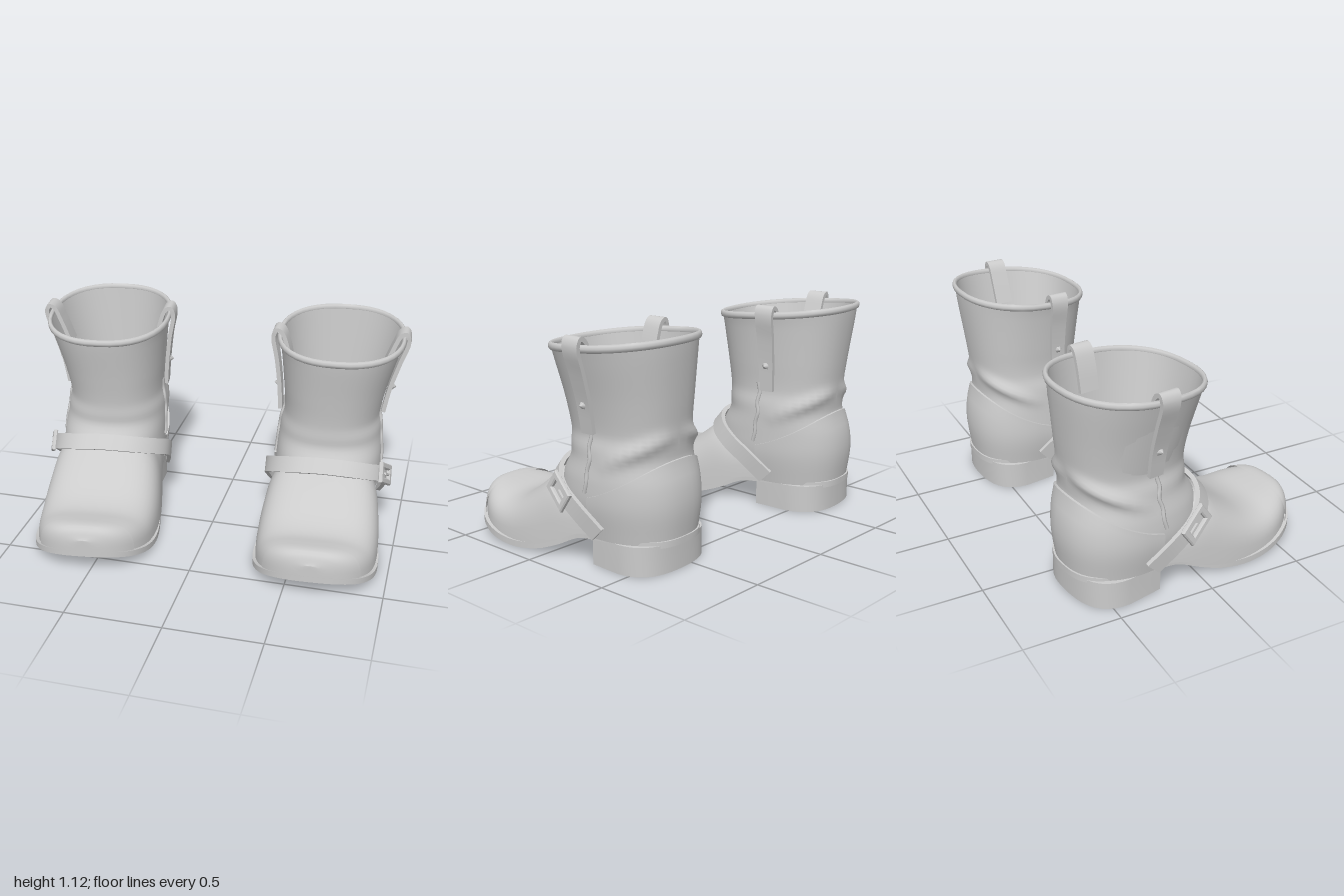
import * as THREE from 'three';
import { toCreasedNormals } from 'three/addons/utils/BufferGeometryUtils.js';

const material = new THREE.MeshStandardMaterial({ color: 0xcccccc, side: THREE.DoubleSide });
const V = (x, y, z) => new THREE.Vector3(x, y, z);

// Smooth interpolation in rows [key, a, b, ...] with ascending keys
function knot(rows, x) {
  const n = rows.length;
  let i = 0;
  while (i < n - 2 && x > rows[i + 1][0]) i++;
  const slope = (j, c) => {
    const p = rows[Math.max(j - 1, 0)], q = rows[Math.min(j + 1, n - 1)];
    return (q[c] - p[c]) / (q[0] - p[0]);
  };
  const A = rows[i], B = rows[i + 1], h = B[0] - A[0];
  const t = Math.min(1, Math.max(0, (x - A[0]) / h)), t2 = t * t, t3 = t2 * t;
  return A.slice(1).map((_, k) => {
    const c = k + 1;
    return (2 * t3 - 3 * t2 + 1) * A[c] + (t3 - 2 * t2 + t) * h * slope(i, c)
      + (3 * t2 - 2 * t3) * B[c] + (t3 - t2) * h * slope(i + 1, c);
  });
}

// Skin through rows of points
function loft(rows, closed, capped, crease = 0.8) {
  const m = rows[0].length, index = [];
  for (let i = 0; i < rows.length - 1; i++)
    for (let j = 0; j < (closed ? m : m - 1); j++) {
      const a = i * m + j, b = i * m + (j + 1) % m;
      index.push(a, b, a + m, b, b + m, a + m);
    }
  if (capped) {
    const e = (rows.length - 1) * m;
    for (let j = 1; j < m - 1; j++) index.push(0, j + 1, j, e, e + j, e + j + 1);
  }
  const g = new THREE.BufferGeometry();
  g.setAttribute('position', new THREE.Float32BufferAttribute(rows.flat().flatMap(p => p.toArray()), 3));
  g.setIndex(index);
  return toCreasedNormals(g, crease);
}

// Flat strip of leather along a path
function ribbon(points, side, width, thick, n) {
  const curve = new THREE.CatmullRomCurve3(points), rows = [];
  for (let i = 0; i <= n; i++) {
    const p = curve.getPoint(i / n), t = curve.getTangent(i / n);
    const w = side.clone().addScaledVector(t, -side.dot(t)).normalize();
    const d = t.clone().cross(w).multiplyScalar(thick / 2);
    w.multiplyScalar(width(i / n) / 2);
    rows.push([[1, 1], [-1, 1], [-1, -1], [1, -1]].map(([a, b]) =>
      p.clone().addScaledVector(w, a).addScaledVector(d, b)));
  }
  return loft(rows, true, true);
}

// z: sole half width, vamp half width
const WIDTHS = [[-0.62, 0.27, 0.27], [-0.25, 0.255, 0.275], [-0.1, 0.265, 0.295], [0.1, 0.31, 0.318],
  [0.3, 0.328, 0.32], [0.59, 0.33, 0.315]];
const SOLE_Y = [[-0.64, 0.13], [-0.2, 0.125], [-0.05, 0.06], [0.05, 0.025], [0.2, 0.005], [0.35, 0.018],
  [0.5, 0.06], [0.6, 0.1]];
const TOP_Y = [[-0.62, 0.28], [-0.5, 0.3], [-0.2, 0.39], [-0.12, 0.41], [-0.05, 0.455], [0, 0.445], [0.05, 0.4],
  [0.15, 0.315], [0.25, 0.25], [0.35, 0.222], [0.45, 0.235], [0.53, 0.245], [0.57, 0.23], [0.59, 0.185]];
// y: front z, back z, half width, outward lean of the shaft
const SHAFT = [[0.14, 0, -0.605, 0.255, 0], [0.3, 0.05, -0.622, 0.285, 0], [0.42, 0.03, -0.612, 0.285, -0.005],
  [0.52, -0.02, -0.585, 0.275, -0.015], [0.58, -0.02, -0.586, 0.27, -0.018], [0.65, -0.02, -0.59, 0.257, -0.02],
  [0.8, 0, -0.605, 0.274, -0.013], [1, 0.032, -0.625, 0.31, 0.004], [1.075, 0.042, -0.63, 0.327, 0.008]];

const pw = (v, e) => Math.sign(v) * Math.abs(v) ** e;
const footRow = (u, grow = 0) => {
  const v = Math.cos(Math.PI * u);
  const z = -0.015 + (0.6 + grow) * v;
  return { z, end: Math.max(0, 1 - v ** 4) ** 0.4, w: knot(WIDTHS, z) };
};

function vampRows(u1, n, grow) {
  const rows = [];
  for (let i = 0; i <= n; i++) {
    const { z, end, w } = footRow(u1 * i / n, grow);
    const y0 = knot(SOLE_Y, z)[0] + 0.025, h = knot(TOP_Y, z)[0] + grow - y0, row = [];
    for (let j = 0; j <= 24; j++) {
      const a = Math.PI * j / 24;
      row.push(V((w[1] + grow) * end * pw(Math.cos(a), 0.65), y0 + h * Math.sin(a) ** 0.65, z));
    }
    rows.push(row);
  }
  return rows;
}

// s: outer side (+1 or -1), tilt: extra outward shift of the shaft
function boot(s, tilt, outerTabZ, innerTabZ) {
  const g = new THREE.Group();
  const add = (name, geo) => {
    const m = new THREE.Mesh(geo, material);
    m.name = name;
    g.add(m);
    return m;
  };
  const ring = fn => Array.from({ length: 40 }, (_, j) => fn(j * Math.PI / 20));

  // Point on the shaft at angle a from the front, with slouched folds behind the ankle
  const shaftPoint = (a, y, off = 0) => {
    const [f, b, w, lean] = knot(SHAFT, y), c = Math.cos(a);
    const foldY = 0.64 - 0.15 * (1 + c);
    const o = off + 0.05 * Math.exp(-(((y - foldY) / 0.035) ** 2)) * Math.abs(Math.min(0, c) * Math.sin(a));
    const shift = lean + tilt * THREE.MathUtils.smoothstep(y, 0.2, 0.75);
    return V(s * shift + (w + o) * pw(Math.sin(a), 0.86), y - 0.035 * c * (y / 1.075) ** 4,
      (f + b) / 2 + ((f - b) / 2 + o) * pw(c, 0.86));
  };

  // Foot and toe cap
  add('vamp', loft(vampRows(1, 48, 0), false, false, 1));
  add('toeCap', loft(vampRows(0.185, 14, 0.007), false, false, 1));

  // Curved sole
  const sole = [];
  for (let i = 0; i <= 48; i++) {
    const { z, end, w } = footRow(i / 48, 0.01);
    const x = w[0] * end + 0.006, y = knot(SOLE_Y, z)[0];
    sole.push([V(-x, y, z), V(-x, y + 0.032, z), V(x, y + 0.032, z), V(x, y, z)]);
  }
  add('sole', loft(sole, true, true, 0.6));

  // Heel block with a rounded back
  const d = new THREE.Shape();
  d.moveTo(-0.245, 0.255);
  d.lineTo(0.245, 0.255);
  d.lineTo(0.262, 0.43);
  d.bezierCurveTo(0.255, 0.575, 0.15, 0.61, 0, 0.61);
  d.bezierCurveTo(-0.15, 0.61, -0.255, 0.575, -0.262, 0.43);
  const heel = new THREE.ExtrudeGeometry(d, { depth: 0.145, bevelEnabled: false, curveSegments: 10 });
  add('heel', toCreasedNormals(heel.rotateX(-Math.PI / 2), 0.6));

  // Shaft, open at the top
  const shaft = [];
  for (let i = 0; i <= 48; i++) shaft.push(ring(a => shaftPoint(a, 0.14 + 0.935 * i / 48)));
  add('shaft', loft(shaft, true, false, 1.2));

  // Lining narrowing down to the insole
  const floorX = s * (tilt * 0.6 - 0.025), lining = [];
  for (let i = 0; i <= 12; i++)
    lining.push(ring(a => shaftPoint(a, 1.07, -0.01).lerp(
      V(floorX + 0.21 * Math.sin(a), 0.42, -0.325 + 0.25 * Math.cos(a)), i / 12)));
  lining.push(ring(() => V(floorX, 0.42, -0.325)));
  add('lining', loft(lining, true, false, 0.8));

  // Rolled collar
  const rim = ring(a => shaftPoint(a, 1.065));
  const collar = [];
  for (let j = 0; j <= 40; j++) {
    const p = rim[j % 40], out = V(p.x, 0, p.z + 0.3).normalize();
    collar.push(Array.from({ length: 8 }, (_, k) => {
      const a = k * Math.PI / 4;
      return p.clone().addScaledVector(out, 0.012 * Math.cos(a)).add(V(0, 0.019 * Math.sin(a), 0));
    }));
  }
  add('collar', loft(collar, true, false, 1.2));

  // Heel counter, highest at the back
  const counter = [];
  for (let i = 0; i <= 24; i++) {
    const q = (i / 12 - 1) * 1.6, top = 0.53 - 0.175 * (1 - Math.cos(q)), row = [];
    for (let j = 0; j <= 10; j++) row.push(shaftPoint(Math.PI + q, 0.145 + (top - 0.145) * j / 10, 0.011));
    row.push(shaftPoint(Math.PI + q, top, -0.005));
    counter.push(row);
  }
  add('heelCounter', loft(counter, false, false, 0.8));

  for (const k of [-1, 1]) {
    const z = k === s ? outerTabZ : innerTabZ;
    const onSide = ([off, y]) => shaftPoint(k * Math.PI / 2, y, off).setZ(z);
    // Pull tab looped over the collar and lying along the shaft
    const tab = [[-0.055, 0.9], [-0.042, 1.03], [-0.022, 1.1], [0.006, 1.112], [0.022, 1.075], [0.02, 0.95],
      [0.016, 0.8], [0.016, 0.66]];
    add('pullTab', ribbon(tab.map(onSide), V(0, 0, 1),
      t => 0.095 - 0.025 * Math.max(0, t - 0.5) * 2, 0.022, 28));
    const stud = add('tabStud', new THREE.ConeGeometry(0.022, 0.025, 6));
    stud.rotation.z = -k * Math.PI / 2;
    stud.position.copy(onSide([0.036, 0.8]));
    // Side seam below the tab
    const seam = Array.from({ length: 7 }, (_, i) =>
      shaftPoint(k * (1.5 + 0.02 * (i % 2)), 0.7 - i * 0.055, 0.002));
    add('sideSeam', new THREE.TubeGeometry(new THREE.CatmullRomCurve3(seam), 18, 0.01, 6));
  }

  // Instep strap
  const half = [[0.14, 0.44, 0.025], [0.245, 0.405, -0.03], [0.308, 0.355, -0.12], [0.318, 0.285, -0.22],
    [0.29, 0.18, -0.33]];
  const path = [...half.map(p => V(-p[0], p[1], p[2])).reverse(), V(0, 0.45, 0.035), ...half.map(p => V(...p))];
  const across = V(0, -0.8, 0.6);
  add('instepStrap', ribbon(path, across, () => 0.085, 0.022, 48));

  // Buckle on the outer side
  const buckle = new THREE.Group();
  buckle.name = 'buckle';
  const rect = (T, w, h) => new T([[-w, -h], [w, -h], [w, h], [-w, h]].map(p => new THREE.Vector2(...p)));
  const frame = rect(THREE.Shape, 0.08, 0.05);
  frame.holes.push(rect(THREE.Path, 0.058, 0.03));
  const bevel = { depth: 0.012, bevelSize: 0.006, bevelThickness: 0.006, bevelSegments: 1 };
  const frameMesh = new THREE.Mesh(new THREE.ExtrudeGeometry(frame, bevel), material);
  frameMesh.name = 'buckleFrame';
  const prong = new THREE.Mesh(new THREE.BoxGeometry(0.07, 0.012, 0.012), material);
  prong.name = 'buckleProng';
  prong.position.set(0.03, 0, 0.008);
  buckle.add(frameMesh, prong);
  const X = V(s * 0.06, -0.11, -0.17).normalize();
  const Y = across.clone().addScaledVector(X, -across.dot(X)).normalize();
  const Z = X.clone().cross(Y);
  if (Z.x * s < 0) { Y.negate(); Z.negate(); }
  buckle.applyMatrix4(new THREE.Matrix4().makeBasis(X, Y, Z));
  buckle.position.set(s * 0.308, 0.355, -0.12).addScaledVector(Z, 0.01);
  g.add(buckle);
  return g;
}

export function createModel() {
  const model = new THREE.Group();
  const left = boot(1, 0.035, -0.28, -0.22);
  left.name = 'leftBoot';
  left.position.x = 0.602;
  left.rotation.y = 0.06;
  const right = boot(-1, 0, -0.3, -0.33);
  right.name = 'rightBoot';
  right.position.set(-0.607, 0, 0.014);
  right.rotation.y = 0.13;
  right.scale.z = 1.08;
  model.add(left, right);
  return model;
}
